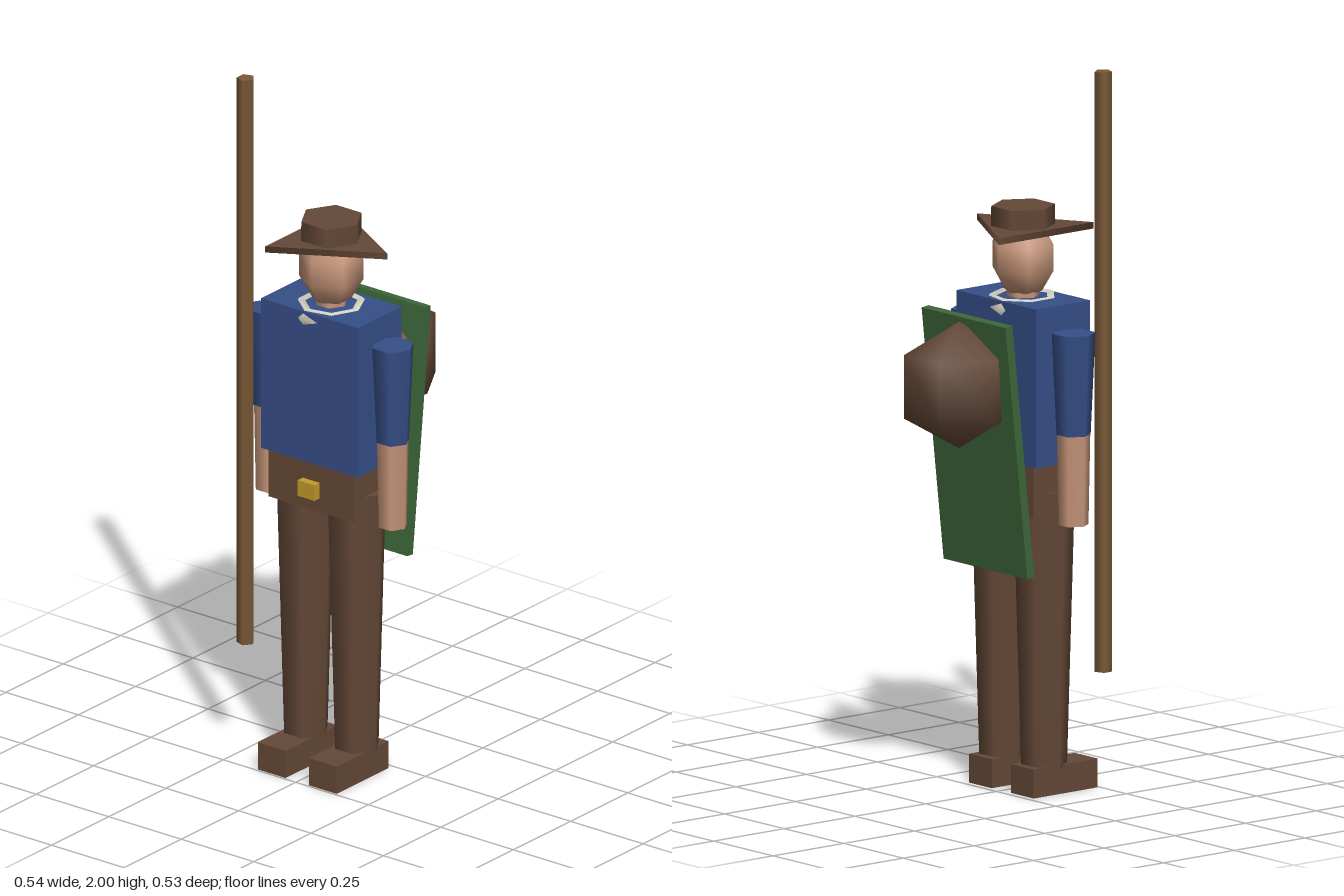
import * as THREE from 'three';

const flat = (name, color) => {
  const m = new THREE.MeshStandardMaterial({ color });
  m.name = name;
  return m;
};

export function createModel() {
  const brown = flat('brown leather', 0x654937);
  const blue = flat('blue cloth', 0x364f88);
  const skin = flat('skin', 0xc8967a);
  const wood = flat('wood', 0x7a5936);
  const green = flat('green board', 0x3d673a);
  const cream = flat('cream collar', 0xd9d5c8);
  const gold = flat('gold', 0xc39c2b);

  const model = new THREE.Group();
  model.name = 'traveller';
  const bodyZ = 0.095;

  const add = (name, geometry, material, x, y, z) => {
    const mesh = new THREE.Mesh(geometry, material);
    mesh.name = name;
    mesh.position.set(x, y, z);
    model.add(mesh);
    return mesh;
  };
  const box = (name, mat, w, h, d, x, y, z) =>
    add(name, new THREE.BoxGeometry(w, h, d), mat, x, y, z);
  // Few-sided prism from y0 to y1 with a corner pointing to +x
  const prism = (name, mat, sides, rBottom, rTop, y0, y1, x, z) =>
    add(name, new THREE.CylinderGeometry(rTop, rBottom, y1 - y0, sides).rotateY(Math.PI / 2),
      mat, x, (y0 + y1) / 2, z);

  // Limbs, mirrored
  for (const side of [1, -1]) {
    const label = side > 0 ? 'left' : 'right';
    box(label + 'Shoe', brown, 0.096, 0.08, 0.226, side * 0.088, 0.04, 0.131);
    prism(label + 'Leg', brown, 6, 0.063, 0.085, 0.07, 0.84, side * 0.088, bodyZ);
    prism(label + 'Sleeve', blue, 6, 0.047, 0.06, 1.01, 1.29, side * 0.212, bodyZ);
    prism(label + 'Forearm', skin, 6, 0.041, 0.046, 0.76, 1.01, side * 0.212, bodyZ);
  }

  // Body
  box('torso', blue, 0.334, 0.44, 0.191, 0, 1.14, bodyZ);
  box('belt', brown, 0.294, 0.14, 0.175, 0, 0.85, bodyZ);
  box('buckle', gold, 0.058, 0.046, 0.03, 0, 0.843, 0.19);
  const collar = new THREE.TorusGeometry(0.08, 0.03, 5, 7).rotateX(Math.PI / 2);
  add('collar', collar, cream, 0, 1.337, bodyZ);

  // Head and hat
  prism('neck', skin, 6, 0.045, 0.045, 1.33, 1.42, 0, bodyZ);
  const head = new THREE.SphereGeometry(0.0925, 6, 5).rotateY(Math.PI / 2).scale(1, 1.25, 1);
  add('head', head, skin, 0, 1.47, bodyZ);
  prism('hatBrim', brown, 3, 0.193, 0.193, 1.537, 1.555, 0, bodyZ);
  prism('hatCrown', brown, 6, 0.088, 0.0875, 1.553, 1.61, 0, bodyZ);

  // Walking staff
  prism('staff', wood, 5, 0.025, 0.025, 0.34, 2, -0.212, 0.2);

  // Leaning back board with a round pack pushed through it
  box('backBoard', green, 0.352, 0.71, 0.025, 0, 0.975, -0.0645).rotation.x = -0.11;
  add('pack', new THREE.SphereGeometry(0.175, 6, 3), brown, 0, 1.143, -0.132);

  return model;
}
